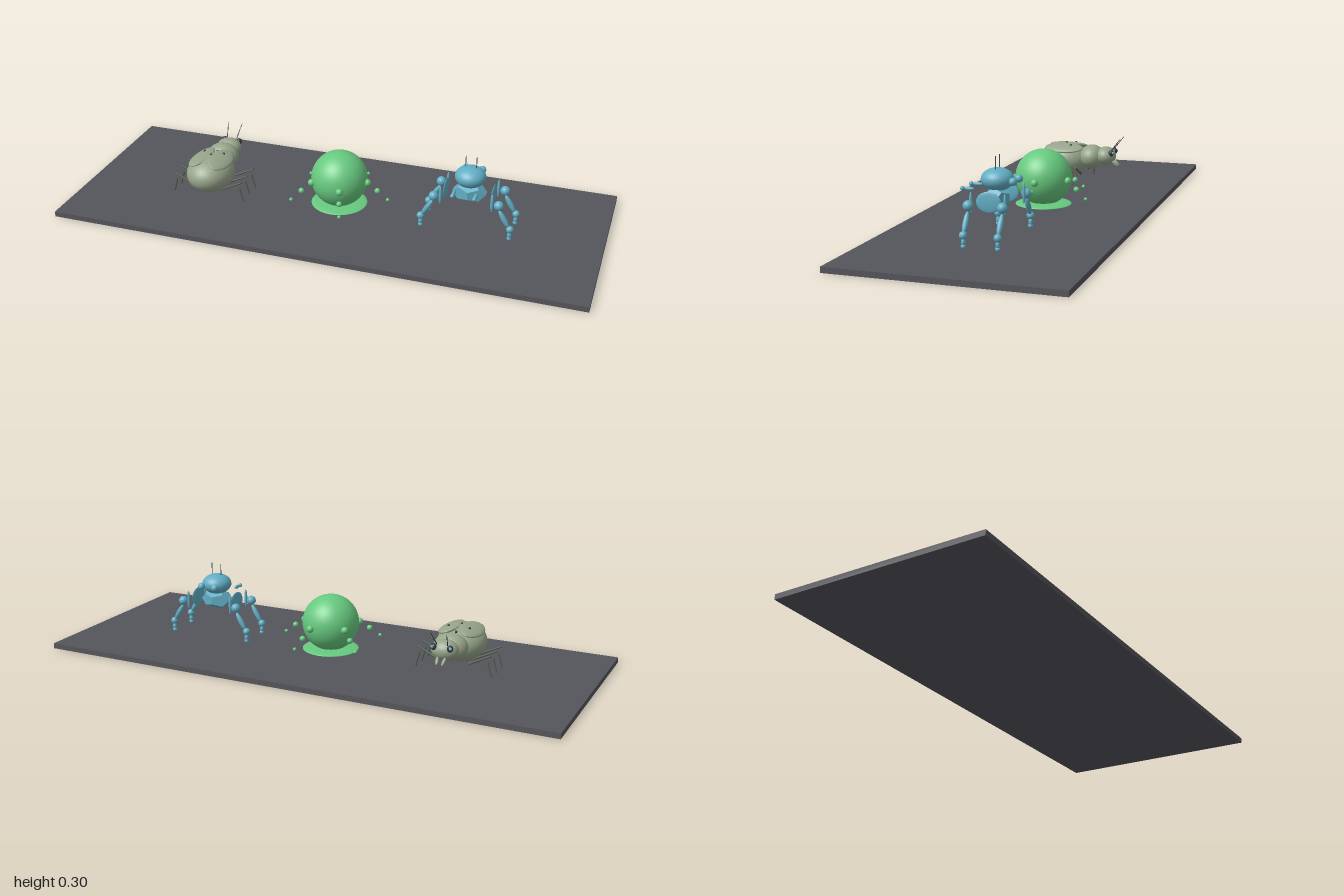
import * as THREE from 'three';

const mat = (name, color) => {
  const m = new THREE.MeshStandardMaterial({ color });
  m.name = name;
  return m;
};

export function createModel() {
  const model = new THREE.Group();
  const slate = mat('slate', 0x55555c);
  const sage = mat('sage', 0x97a58b);
  const darkSage = mat('dark sage', 0x565f50);
  const green = mat('green', 0x67c97f);
  const blue = mat('blue', 0x62adc4);
  const deepBlue = mat('deep blue', 0x35586a);
  const black = mat('dark', 0x34343e);

  const add = (parent, name, geo, material, pos = [0, 0, 0]) => {
    const mesh = new THREE.Mesh(geo, material);
    mesh.name = name;
    mesh.position.set(...pos);
    parent.add(mesh);
    return mesh;
  };
  const ball = (parent, name, material, pos, r, seg = 20) => {
    const mesh = add(parent, name, new THREE.SphereGeometry(1, seg, Math.ceil(seg * 0.7)), material, pos);
    mesh.scale.set(...(Array.isArray(r) ? r : [r, r, r]));
    return mesh;
  };
  // Geometry along +y turned to run from a to b
  const aim = (mesh, a, b) => {
    const p = new THREE.Vector3(...a), q = new THREE.Vector3(...b);
    mesh.position.copy(p).lerp(q, 0.5);
    mesh.quaternion.setFromUnitVectors(new THREE.Vector3(0, 1, 0), q.clone().sub(p).normalize());
    return p.distanceTo(q);
  };
  const rod = (parent, name, material, a, b, r0, r1 = r0) => {
    const len = new THREE.Vector3(...a).distanceTo(new THREE.Vector3(...b));
    aim(add(parent, name, new THREE.CylinderGeometry(r1, r0, len, 8), material), a, b);
  };
  const link = (parent, name, material, a, b, r) => {
    const mesh = ball(parent, name, material, [0, 0, 0], r, 14);
    mesh.scale.y = aim(mesh, a, b) / 2;
  };
  const group = (name, x) => {
    const g = new THREE.Group();
    g.name = name;
    g.position.x = x;
    model.add(g);
    return g;
  };

  add(model, 'base', new THREE.BoxGeometry(2, 0.02, 0.8), slate, [0, 0.01, 0]);

  // Beetle, head towards -z
  const beetle = group('beetle', -0.5);
  ball(beetle, 'abdomen', sage, [0, 0.11, 0.07], [0.09, 0.07, 0.104], 32);
  ball(beetle, 'thorax', sage, [0, 0.125, -0.05], [0.063, 0.05, 0.052], 24);
  ball(beetle, 'head', sage, [0, 0.132, -0.11], [0.05, 0.038, 0.042], 24);
  for (const z of [0, 0.06]) ball(beetle, 'backSpot', black, [0, z ? 0.179 : 0.166, z], 0.005, 10);
  for (const s of [-1, 1]) {
    const cover = ball(beetle, 'wingCover', sage, [s * 0.04, 0.163, 0.06], [0.043, 0.012, 0.082], 24);
    cover.rotation.z = -s * 0.3;
    ball(beetle, 'wingSpot', black, [s * 0.04, 0.175, 0.03], 0.005, 10);
    ball(beetle, 'eye', black, [s * 0.03, 0.148, -0.14], [0.011, 0.013, 0.011], 14);
    ball(beetle, 'pupil', blue, [s * 0.034, 0.15, -0.148], 0.006, 10);
    rod(beetle, 'antenna', black, [s * 0.02, 0.16, -0.14], [s * 0.03, 0.21, -0.178], 0.002, 0.001);
    link(beetle, 'mandible', sage, [s * 0.015, 0.115, -0.14], [s * 0.01, 0.09, -0.165], 0.006);
    for (const z of [-0.02, 0.04, 0.1]) {
      rod(beetle, 'upperLeg', darkSage, [s * 0.06, 0.06, z], [s * 0.14, 0.1, z], 0.004, 0.003);
      rod(beetle, 'lowerLeg', darkSage, [s * 0.13, 0.075, z], [s * 0.145, 0.02, z], 0.003);
    }
  }

  // Round creature with five beaded arms
  const blob = group('roundCreature', 0);
  ball(blob, 'body', green, [0, 0.133, 0], 0.107, 40);
  ball(blob, 'foot', green, [0, 0.031, 0], [0.107, 0.01, 0.107], 32);
  for (let i = 0; i < 5; i++) {
    const a = (i * Math.PI * 2) / 5;
    [[0.11, 0.13, 0.014], [0.15, 0.102, 0.011], [0.191, 0.071, 0.007]].forEach(([d, y, r]) =>
      ball(blob, 'armBead', green, [d * Math.cos(a), y, d * Math.sin(a)], r, 14));
  }

  // Jointed walker
  const walker = group('walker', 0.5);
  const body = add(walker, 'body', new THREE.DodecahedronGeometry(1, 0), blue, [0, 0.161, 0]);
  body.scale.set(0.066, 0.04, 0.045);
  ball(walker, 'head', blue, [0, 0.223, 0], [0.057, 0.039, 0.057], 28);
  for (const s of [-1, 1]) {
    rod(walker, 'antenna', deepBlue, [s * 0.02, 0.255, 0], [s * 0.02, 0.304, 0], 0.0015);
    ball(walker, 'sidePlate', blue, [s * 0.088, 0.161, 0], [0.005, 0.036, 0.045], 14);
    ball(walker, 'rearJoint', blue, [s * 0.03, 0.223, -0.065], 0.014, 14);
    link(walker, 'arm', blue, [s * 0.04, 0.192, 0.068], [s * 0.04, 0.192, 0.104], 0.007);
    ball(walker, 'hand', blue, [s * 0.04, 0.192, 0.111], 0.008, 12);
    for (const f of [-1, 1]) {
      const z = f * 0.06;
      link(walker, 'hipLink', blue, [s * 0.095, 0.122, z], [s * 0.095, 0.195, z], 0.006);
      ball(walker, 'hip', blue, [s * 0.12, 0.153, z], 0.018, 16);
      link(walker, 'shin', blue, [s * 0.122, 0.135, z], [s * 0.162, 0.068, z], 0.01);
      ball(walker, 'ankle', blue, [s * 0.166, 0.064, z], 0.014, 14);
      link(walker, 'shank', blue, [s * 0.166, 0.055, z], [s * 0.165, 0.026, z], 0.008);
      ball(walker, 'foot', blue, [s * 0.165, 0.027, z], 0.009, 12);
    }
  }
  return model;
}
